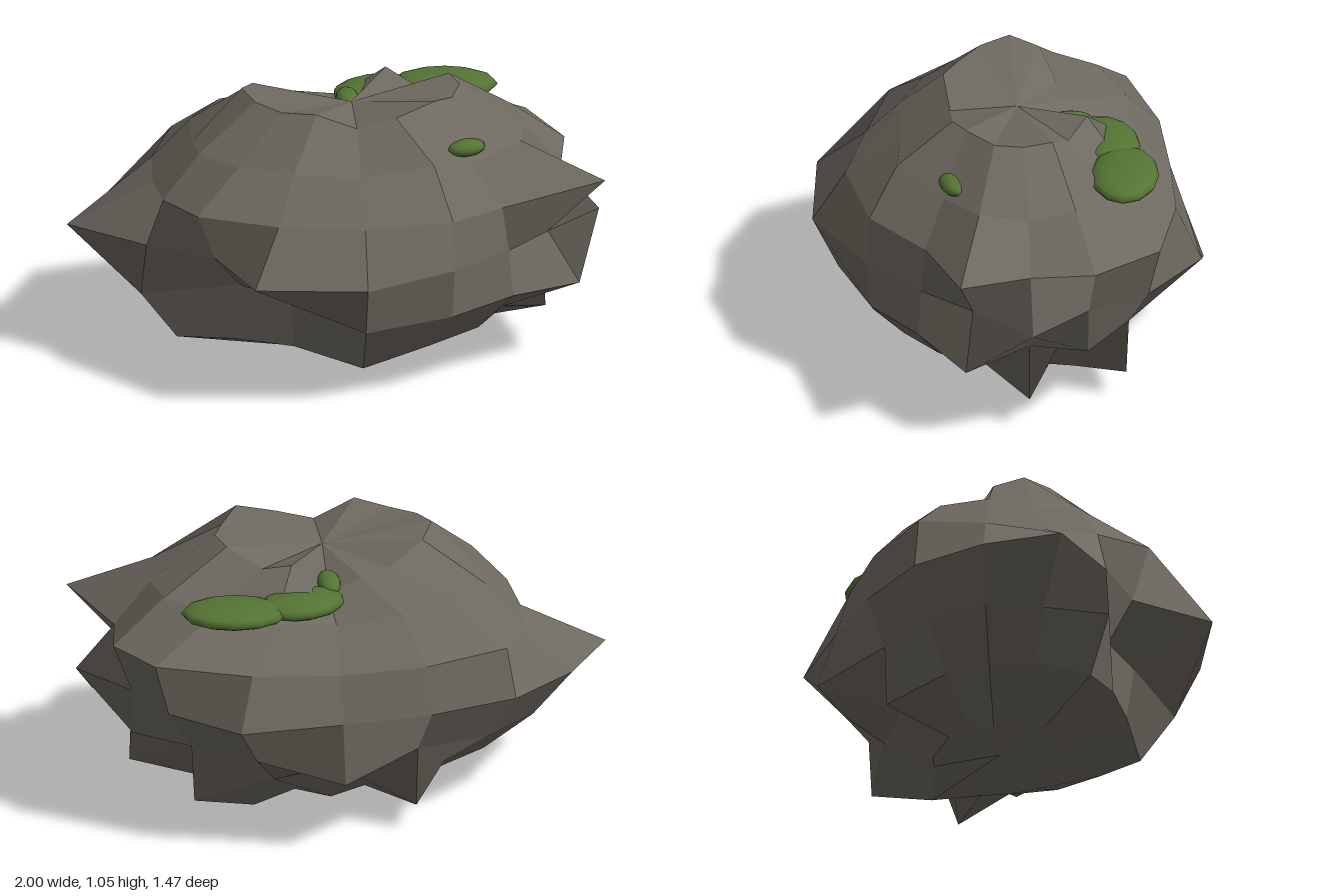
import * as THREE from 'three';

// Radius of the boulder at 16 bearings (from +x turning towards +z), for each ring from top to bottom
const RINGS = [
  [1.06, 1.04, 1.10, 1.00, 0.92, 1.06, 1.03, 1.05, 1.08, 1.03, 0.86, 0.83, 0.71, 1.01, 0.92, 1.06],
  [0.92, 0.95, 0.85, 1.01, 0.87, 0.92, 0.90, 0.90, 0.85, 0.91, 0.94, 0.92, 0.85, 0.84, 0.90, 0.95],
  [0.85, 1.09, 0.82, 0.95, 0.98, 0.90, 0.94, 0.85, 0.81, 0.86, 0.98, 0.92, 0.88, 0.95, 1.06, 0.96],
  [0.93, 0.78, 0.79, 0.89, 1.08, 1.10, 0.77, 0.855, 1.07, 0.985, 0.95, 0.89, 0.89, 1.02, 0.90, 0.81],
  [0.78, 0.98, 0.88, 0.94, 1.02, 0.75, 0.68, 0.95, 0.83, 0.90, 0.88, 0.84, 1.07, 0.88, 0.83, 0.87],
  [1.03, 0.85, 0.90, 0.95, 1.07, 0.925, 0.93, 1.03, 0.85, 0.90, 0.85, 1.08, 0.75, 0.85, 1.06, 0.73],
  [0.90, 0.90, 0.91, 0.85, 0.85, 0.88, 0.91, 0.93, 0.90, 0.97, 0.90, 0.90, 0.95, 0.90, 1.04, 0.95],
];
const TOP_POLE = 0.87;
const BOTTOM_POLE = 0.81;

function boulderPoint(row, k) {
  const r = row === 0 ? TOP_POLE : row === 8 ? BOTTOM_POLE : RINGS[row - 1][k % 16];
  const tilt = (row * Math.PI) / 8;
  const turn = (k * Math.PI) / 8;
  return new THREE.Vector3(
    r * Math.sin(tilt) * Math.cos(turn),
    r * Math.cos(tilt) * 0.53,
    r * Math.sin(tilt) * Math.sin(turn) * 0.71
  );
}

function faceNormal(a, b, c) {
  return b.clone().sub(a).cross(c.clone().sub(a));
}

// Four-sided facets between the rings, each with one flat normal
function boulderGeometry() {
  const positions = [];
  const normals = [];
  const addFacet = (corners, normal) => {
    normal.normalize();
    for (const p of corners) {
      positions.push(p.x, p.y, p.z);
      normals.push(normal.x, normal.y, normal.z);
    }
  };
  for (let row = 0; row < 8; row++) {
    for (let k = 0; k < 16; k++) {
      const a = boulderPoint(row, k);
      const b = boulderPoint(row, k + 1);
      const c = boulderPoint(row + 1, k + 1);
      const d = boulderPoint(row + 1, k);
      const upper = faceNormal(a, b, d);
      const lower = faceNormal(b, c, d);
      if (row === 0) addFacet([b, c, d], lower);
      else if (row === 7) addFacet([a, b, d], upper);
      else {
        // Split along the other diagonal where the first would fold the facet over
        const folded = upper.dot(lower) < 0;
        addFacet(folded ? [a, b, c, a, c, d] : [a, b, d, b, c, d], upper.add(lower));
      }
    }
  }
  const geo = new THREE.BufferGeometry();
  geo.setAttribute('position', new THREE.Float32BufferAttribute(positions, 3));
  geo.setAttribute('normal', new THREE.Float32BufferAttribute(normals, 3));
  return geo;
}

export function createModel() {
  const group = new THREE.Group();
  group.name = 'mossyBoulder';

  const stone = new THREE.MeshStandardMaterial({ color: 0x6e6960 });
  stone.name = 'stone';
  const moss = new THREE.MeshStandardMaterial({ color: 0x557434 });
  moss.name = 'moss';

  const boulder = new THREE.Mesh(boulderGeometry(), stone);
  boulder.name = 'boulder';
  boulder.position.set(0.07, 0.51, -0.03);
  group.add(boulder);

  // Flattened moss cushions, partly sunk into the stone
  const cushions = [
    ['mossLarge', [0.45, 0.88, -0.41], [0.20, 0.045, 0.13], -0.1],
    ['mossMiddle', [0.19, 0.88, -0.36], [0.17, 0.045, 0.12], 0.3],
    ['mossTail', [0.07, 0.90, -0.23], [0.045, 0.035, 0.09], 0],
    ['mossSmall', [0.48, 0.88, 0.24], [0.075, 0.032, 0.045], 0.35],
  ];
  for (const [name, at, size, turn] of cushions) {
    const cushion = new THREE.Mesh(new THREE.SphereGeometry(1, 12, 8), moss);
    cushion.name = name;
    cushion.position.set(...at);
    cushion.scale.set(...size);
    cushion.rotation.y = turn;
    group.add(cushion);
  }
  return group;
}
